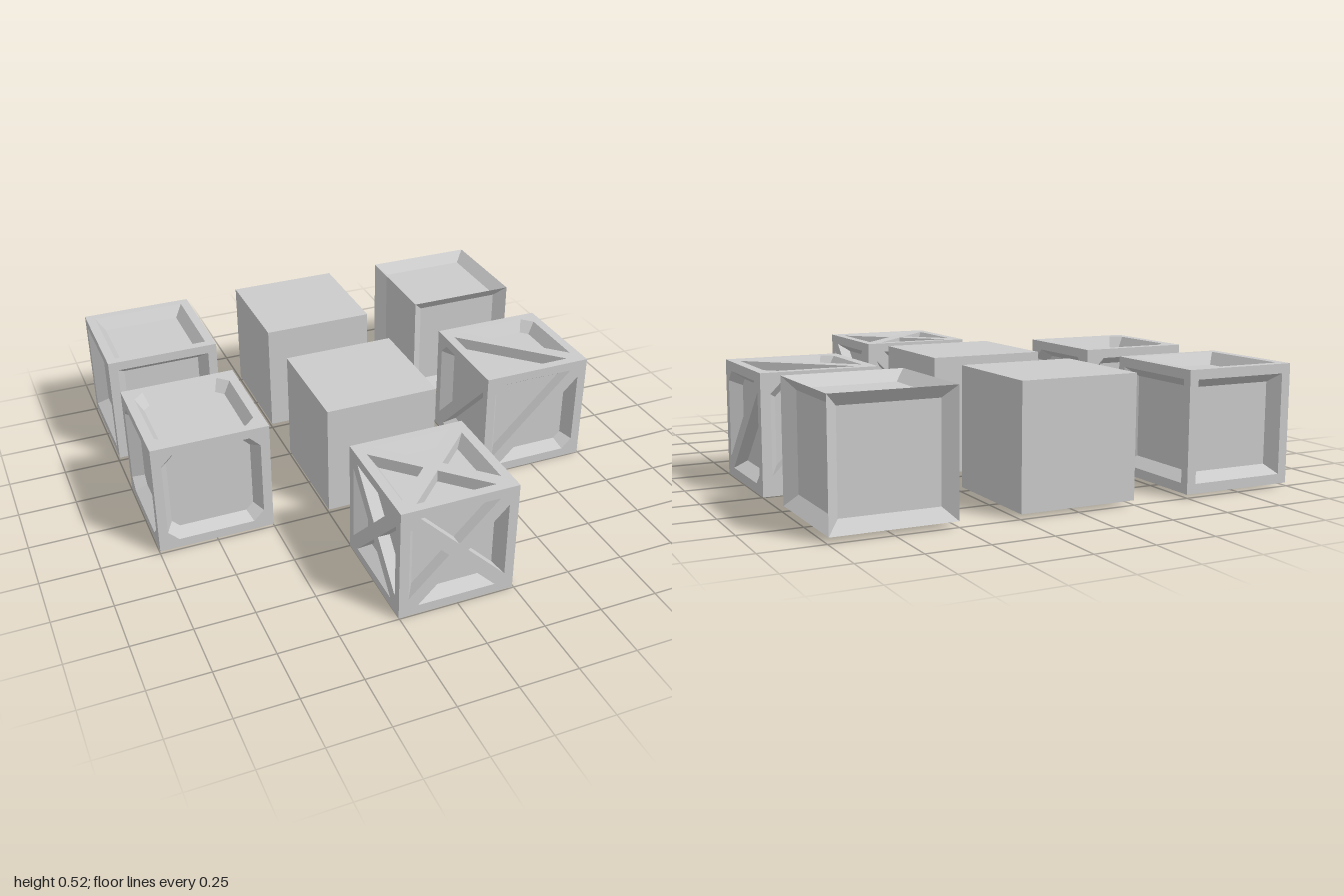
import * as THREE from 'three';
import { mergeGeometries } from 'three/addons/utils/BufferGeometryUtils.js';

const H = 0.248;      // half size of a crate
const DEPTH = 0.05;   // depth of a framed recess
const FLARE_INSET = 0.05, FLARE_DEPTH = 0.044;   // recess that reaches the crate edges
const O = 0.208, F = 0.174;   // half size of a recess at its rim and at its floor
const BAR = 0.041;    // offset of a diagonal brace edge from the diagonal

const material = new THREE.MeshStandardMaterial({ color: 0xcccccc, flatShading: true });

const square = (s) => [[-s, -s], [s, -s], [s, s], [-s, s]];
const turn = (loop, q) => loop.map(([x, y]) => {
  for (let i = 0; i < q; i++) [x, y] = [-y, x];
  return [x, y];
});
const toPoints = (loop) => loop.map(([x, y]) => new THREE.Vector2(x, y));

// Square with cut corners; c is where each side ends
const octagon = (s, c) => [0, 1, 2, 3].flatMap((q) => turn([[-c, -s], [c, -s]], q));
// Half of a face above the diagonal brace, with one cut corner
const halfPanel = (s, c) => [[-s, BAR - s], [s - BAR, s], [-c, s], [-s, c]];
// Quarter of a face between two crossed braces
const quarterPanel = (s) => [[0, BAR], [s - BAR, s], [BAR - s, s]];

// Each recess is a pair of counter-clockwise loops: rim and floor
const styles = {
  plain: [],
  framed: [[square(O), square(0.171)]],
  flared: [[square(H), square(H - FLARE_INSET)]],
  cutCorner: [[octagon(O, 0.163), octagon(0.177, 0.145)]],
  diagonal: [0, 2].map((q) => [turn(halfPanel(O, 0.163), q), turn(halfPanel(F, 0.144), q)]),
  crossed: [0, 1, 2, 3].map((q) => [turn(quarterPanel(O), q), turn(quarterPanel(F), q)]),
};

// Walls joining the rim to the sunken floor
function recessWalls(rim, floor, floorZ) {
  const pos = [];
  rim.forEach((a, i) => {
    const j = (i + 1) % rim.length;
    const A = [...a, H], B = [...rim[j], H];
    const C = [...floor[j], floorZ], D = [...floor[i], floorZ];
    pos.push(...A, ...B, ...C, ...A, ...C, ...D);
  });
  const g = new THREE.BufferGeometry();
  g.setAttribute('position', new THREE.Float32BufferAttribute(pos, 3));
  g.computeVertexNormals();
  return g;
}

function flatPanel(loop, z, holes = []) {
  const shape = new THREE.Shape(toPoints(loop));
  shape.holes = holes.map((h) => new THREE.Path(toPoints(h)));
  const g = new THREE.ShapeGeometry(shape).toNonIndexed();
  g.deleteAttribute('uv');
  return g.translate(0, 0, z);
}

// One crate side, facing +z
function sideGeometry(style) {
  const recesses = styles[style];
  const floorZ = H - (style === 'flared' ? FLARE_DEPTH : DEPTH);
  const parts = recesses.flatMap(([rim, floor]) => [
    recessWalls(rim, floor, floorZ),
    flatPanel(floor, floorZ),
  ]);
  // Flared crates have no flat rim: the walls reach the outer edges
  if (style !== 'flared') parts.push(flatPanel(square(H), H, recesses.map((r) => r[0])));
  return mergeGeometries(parts);
}

function makeCrate(name, style, x, y, z) {
  const crate = new THREE.Group();
  crate.name = name;
  crate.position.set(x, y, z);
  const side = sideGeometry(style);
  const q = Math.PI / 2;
  const add = (part, rx, ry, roll = 0) => {
    const g = side.clone().rotateZ(roll).rotateX(rx).rotateY(ry);
    const mesh = new THREE.Mesh(g, material);
    mesh.name = part;
    crate.add(mesh);
  };
  ['frontSide', 'leftSide', 'backSide', 'rightSide'].forEach((part, i) => add(part, 0, i * q));
  // Braces above and below run from back right to front left
  add('topSide', -q, 0, q);
  add('bottomSide', q, 0, q);
  return crate;
}

export function createModel() {
  const model = new THREE.Group();
  model.name = 'crateSet';
  model.add(
    makeCrate('framedCrate', 'framed', -0.748, 0.262, -0.75),
    makeCrate('plainCrateBack', 'plain', -0.002, 0.267, -0.75),
    makeCrate('flaredCrate', 'flared', 0.746, 0.27, -0.748),
    makeCrate('cutCornerCrate', 'cutCorner', -0.752, 0.262, 0.005),
    makeCrate('plainCrateMiddle', 'plain', -0.003, 0.267, 0.006),
    makeCrate('diagonalCrate', 'diagonal', 0.749, 0.248, 0),
    makeCrate('crossedCrate', 'crossed', -0.005, 0.251, 0.75),
  );
  return model;
}
